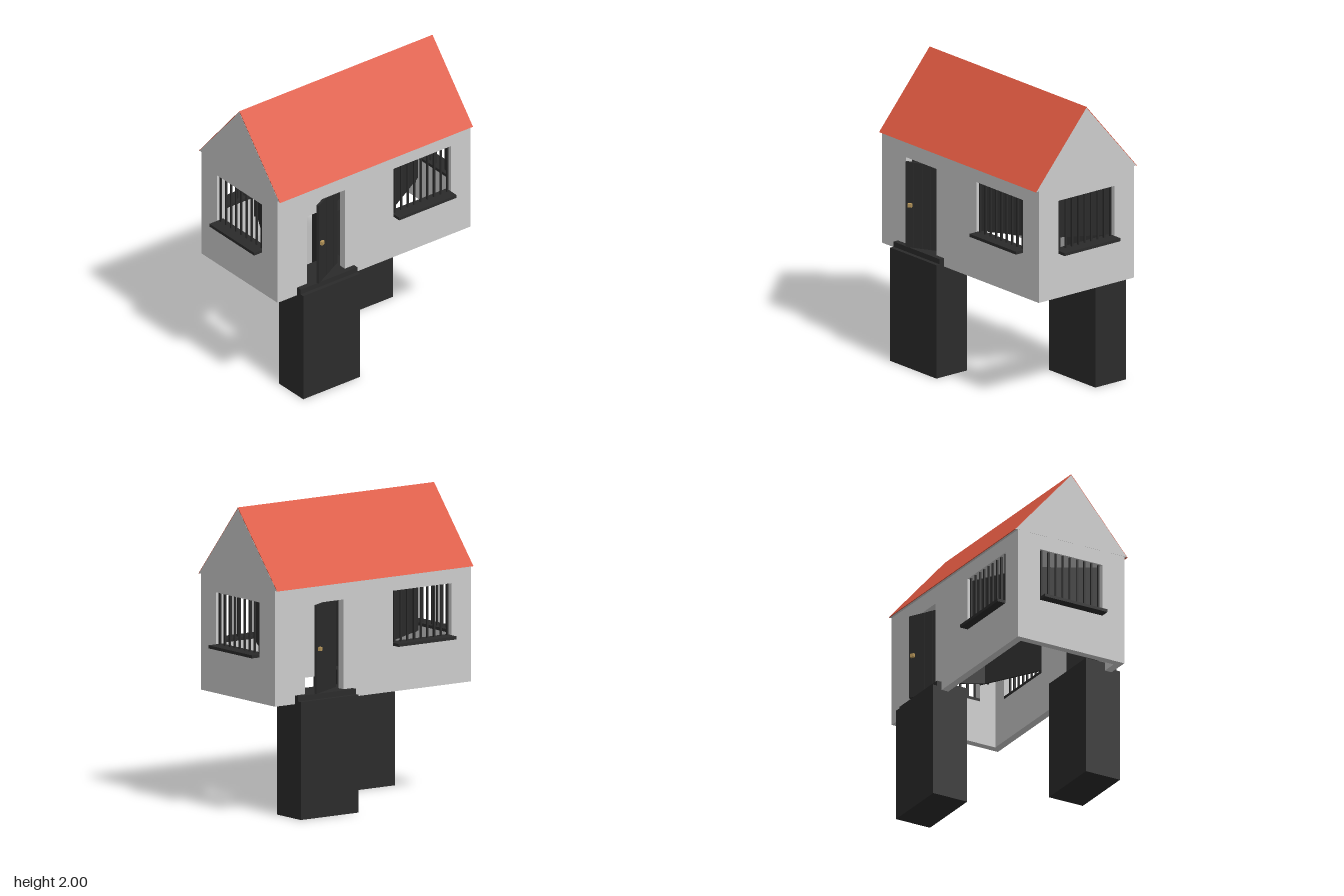
import * as THREE from 'three';

const paint = (color) => new THREE.MeshStandardMaterial({ color, flatShading: true });

export function createModel() {
  const grey = paint(0xcccccc), dark = paint(0x2b2b2b), red = paint(0xdb5740), brass = paint(0xb8975a);
  const T = 0.05; // wall thickness

  const add = (parent, name, geometry, material, x = 0, y = 0, z = 0) => {
    const mesh = new THREE.Mesh(geometry, material);
    mesh.name = name;
    mesh.position.set(x, y, z);
    parent.add(mesh);
    return mesh;
  };
  // box given by its limits
  const block = (parent, name, material, x0, x1, y0, y1, z0, z1) =>
    add(parent, name, new THREE.BoxGeometry(x1 - x0, y1 - y0, z1 - z0), material,
      (x0 + x1) / 2, (y0 + y1) / 2, (z0 + z1) / 2);
  const polygon = (points) => new THREE.Shape(points.map(([x, y]) => new THREE.Vector2(x, y)));
  const rect = (x0, x1, y0, y1) => polygon([[x0, y0], [x1, y0], [x1, y1], [x0, y1]]);

  // wall with rectangular openings, outer face on local z = 0
  const wall = (parent, name, halfWidth, openings) => {
    const shape = rect(-halfWidth, halfWidth, 0.75, 1.51);
    shape.holes = openings.map((o) => rect(...o));
    add(parent, name, new THREE.ExtrudeGeometry(shape, { depth: T, bevelEnabled: false }), grey, 0, 0, -T);
  };

  // barred window with a sill and a shutter swung inwards; hinge is -1 or 1
  const barredWindow = (parent, x, hinge, sillDepth) => {
    const g = new THREE.Group();
    g.name = 'window';
    g.position.x = x;
    parent.add(g);
    block(g, 'windowSill', dark, -0.235, 0.235, 1.05, 1.07, -T, sillDepth);
    for (let i = 0; i < 9; i++) {
      const bx = -0.215 + i * 0.05375;
      block(g, 'windowBar', dark, bx - 0.006, bx + 0.006, 1.07, 1.41, -0.022, -0.01);
    }
    const swing = new THREE.Group();
    swing.name = 'shutterHinge';
    swing.position.set(hinge * 0.235, 0, -0.035);
    swing.rotation.y = -hinge * 0.52;
    g.add(swing);
    const ends = [0, -hinge * 0.468].sort((a, b) => a - b);
    block(swing, 'shutter', dark, ends[0], ends[1], 1.07, 1.405, -0.012, 0);
  };

  // half of the house: front wall, one side wall, door, support
  const half = new THREE.Group();
  half.name = 'houseHalf';

  const front = new THREE.Group();
  front.name = 'longSide';
  front.position.z = 0.4;
  half.add(front);
  wall(front, 'longWall', 0.79, [[-0.55, -0.24, 0.8, 1.395], [0.16, 0.63, 1.05, 1.41]]);
  barredWindow(front, 0.395, -1, 0.058);

  const side = new THREE.Group();
  side.name = 'shortSide';
  side.position.x = 0.79;
  side.rotation.y = Math.PI / 2;
  half.add(side);
  wall(side, 'shortWall', 0.4 - T, [[-0.235, 0.235, 1.05, 1.41]]);
  barredWindow(side, 0, 1, 0.063);

  // door standing ajar, made of planks
  const door = new THREE.Group();
  door.name = 'door';
  door.position.set(-0.235, 0, 0.305);
  door.rotation.y = 0.485;
  half.add(door);
  block(door, 'doorPanel', dark, -0.295, 0, 0.81, 1.39, -0.008, 0.004);
  for (let i = 0; i < 5; i++) {
    block(door, 'doorPlank', dark, -0.295 + i * 0.059, -0.239 + i * 0.059, 0.81, 1.39, 0.004, 0.009);
  }
  block(door, 'doorHandle', brass, -0.275, -0.247, 1.088, 1.112, 0.009, 0.028);

  // support block that doubles as the door step
  block(half, 'supportBlock', dark, -0.63, -0.165, 0, 0.772, 0.208, 0.464);
  block(half, 'doorStep', dark, -0.63, -0.165, 0.772, 0.807, 0.208, 0.436);

  const model = new THREE.Group();
  model.name = 'house';
  const other = half.clone();
  other.rotation.y = Math.PI;
  model.add(half, other);

  // gabled attic and its red covering, extruded along x
  const alongX = (name, points, material, length) => {
    const geometry = new THREE.ExtrudeGeometry(polygon(points), { depth: length, bevelEnabled: false });
    geometry.translate(0, 0, -length / 2).rotateY(Math.PI / 2);
    add(model, name, geometry, material);
  };
  alongX('attic', [[-0.419, 1.51], [0.419, 1.51], [0, 1.993]], grey, 1.582);
  alongX('roofCovering', [[-0.425, 1.508], [-0.418, 1.508], [0, 1.991], [0.418, 1.508], [0.425, 1.508], [0, 2]], red, 1.58);
  return model;
}
